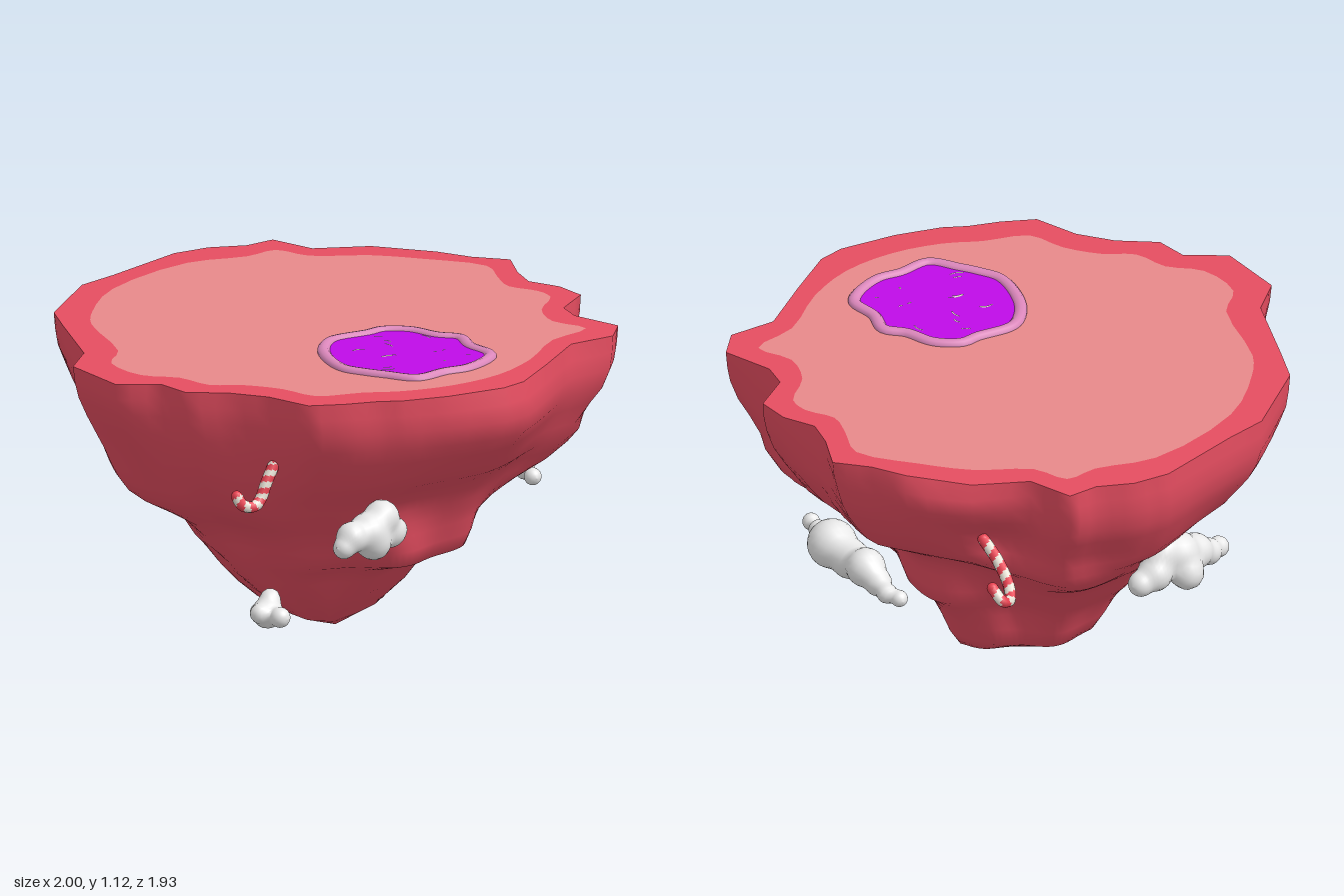
import * as THREE from 'three';

const mat = (name, color, side = THREE.FrontSide) => {
  const m = new THREE.MeshStandardMaterial({ color, side });
  m.name = name;
  return m;
};

// Plan outlines as x, z pairs, running from +x towards +z
const RIM = [1, -.06, .91, .06, .86, .16, .89, .28, .87, .4, .72, .46, .68, .55, .7, .74, .6, .81, .43, .77,
  .2, .87, 0, .95, -.1, .95, -.3, .88, -.45, .8, -.52, .74, -.62, .68, -.72, .6, -.74, .43, -.8, .3,
  -.9, .18, -.89, .06, -1, -.06, -.95, -.31, -.81, -.39, -.63, -.66, -.54, -.79, -.24, -.94, -.08, -.94, .25, -.96,
  .38, -.92, .49, -.84, .6, -.82, .62, -.65, .78, -.52, .89, -.31, .93, -.18];
const GROUND = [.89, -.07, .82, .05, .77, .15, .8, .26, .78, .34, .65, .42, .58, .54, .6, .68, .42, .69, .2, .79,
  0, .83, -.2, .8, -.37, .72, -.48, .63, -.62, .54, -.64, .4, -.7, .27, -.78, .18, -.79, .05, -.86, -.07,
  -.83, -.24, -.71, -.32, -.55, -.6, -.44, -.7, -.2, -.83, .2, -.85, .4, -.75, .52, -.73, .55, -.6, .7, -.45, .8, -.28];
const POOL = [.23, .45, .18, .55, .16, .67, .1, .71, -.03, .73, -.12, .7, -.25, .68, -.3, .57, -.33, .49, -.35, .4,
  -.3, .27, -.22, .17, -.12, .12, .03, .16, .1, .17, .17, .25, .19, .37];

const pairs = (a) => Array.from({ length: a.length / 2 }, (_, i) => [a[2 * i], a[2 * i + 1]]);
const toShape = (pts) => new THREE.Shape(pts.map(([x, z]) => new THREE.Vector2(x, -z)));
const flat = (shape, y) => new THREE.ShapeGeometry(shape).rotateX(-Math.PI / 2).translate(0, y, 0);
const loop = (pts) => new THREE.CatmullRomCurve3(pts.map(([x, z]) => new THREE.Vector3(x, 0, z)), true);
const soften = (pts) => loop(pts).getPoints(pts.length * 3).slice(0, -1).map((p) => [p.x, p.z]);

function indexedGeometry(pos, idx) {
  const g = new THREE.BufferGeometry();
  g.setAttribute('position', new THREE.Float32BufferAttribute(pos, 3));
  g.setIndex(idx);
  g.computeVertexNormals();
  return g;
}

// Rock sides: height, scale to -x, +x, +z, -z, and how far the outline is smoothed
const LEVELS = [
  [1.1, 1, 1, 1, 1, 0], [1.04, .995, .995, 1, 1, .05], [.98, .98, .98, 1, 1, .12], [.91, .95, .96, .97, .98, .22],
  [.85, .92, .93, .92, .95, .32], [.78, .88, .88, .86, .9, .42], [.72, .84, .83, .8, .86, .52],
  [.67, .8, .77, .72, .81, .62], [.62, .76, .68, .67, .74, .7], [.57, .7, .59, .63, .69, .78],
  [.52, .62, .55, .6, .65, .85], [.47, .55, .53, .57, .6, .9], [.41, .5, .52, .55, .56, 1],
  [.35, .46, .5, .52, .51, 1], [.31, .42, .45, .38, .47, 1], [.25, .37, .4, .3, .42, 1],
  [.18, .29, .36, .24, .38, 1], [.11, .19, .33, .15, .34, 1], [.05, .1, .29, .07, .18, 1]];

// Bulges and gullies: angle from +x towards +z, height, angular spread, height spread, amount
const BUMPS = [
  [.78, .62, .3, .12, .17], [-.95, .58, .3, .1, .17], [-.45, 1, .18, .06, .05], [-.66, .78, .14, .12, -.13],
  [.5, .28, .25, .16, -.16], [-.75, .32, .3, .15, -.14], [-.1, .3, .25, .2, .05], [1.85, .6, .3, .13, -.08],
  [2.2, .32, .25, .12, -.08], [1.57, .95, .3, .12, .02], [-2.8, .6, .3, .12, .06], [-1.9, .45, .25, .15, -.07]];

function rockGeometry() {
  const rim = pairs(RIM), SUB = 3, cols = [];
  rim.forEach(([x, z], i) => {
    const [nx, nz] = rim[(i + 1) % rim.length];
    for (let k = 0; k < SUB; k++) cols.push([x + (nx - x) * k / SUB, z + (nz - z) * k / SUB]);
  });
  const n = cols.length, W = 7;
  const soft = cols.map((_, i) => {
    let x = 0, z = 0;
    for (let k = -W; k <= W; k++) { x += cols[(i + k + n) % n][0]; z += cols[(i + k + n) % n][1]; }
    return [x / (2 * W + 1) * 1.06, z / (2 * W + 1) * 1.06];
  });
  const pos = [], idx = [];
  LEVELS.forEach(([y, l, r, f, b, t]) => cols.forEach((c, j) => {
    const x = c[0] + (soft[j][0] - c[0]) * t, z = c[1] + (soft[j][1] - c[1]) * t;
    const a = Math.atan2(z, x);
    let w = 1 + t * .02 * Math.sin(9 * a - y * 7);
    for (const [ba, by, sa, sy, amount] of BUMPS) {
      const da = Math.atan2(Math.sin(a - ba), Math.cos(a - ba)) / sa, dy = (y - by) / sy;
      w += amount * Math.exp(-da * da - dy * dy);
    }
    if (y === 1.1) w = 1;
    pos.push(x * (x > 0 ? r : l) * w, y, z * (z > 0 ? f : b) * w);
  }));
  pos.push(.05, 0, 0);
  const last = LEVELS.length - 1;
  for (let i = 0; i <= last; i++) for (let j = 0; j < n; j++) {
    const a = i * n + j, b = i * n + (j + 1) % n;
    if (i === last) idx.push(a, b, pos.length / 3 - 1);
    else idx.push(a, b, a + n, b, b + n, a + n);
  }
  return indexedGeometry(pos, idx);
}

// One smooth skin around puffs (x, y, z, radius), ringed along the line from -dir to +dir
function cloudGeometry(puffs, dir) {
  const axis = new THREE.Vector3(...dir).normalize(), up = new THREE.Vector3(0, 1, 0);
  const side = new THREE.Vector3().crossVectors(axis, up);
  const balls = puffs.map(([x, y, z, r]) => {
    const c = new THREE.Vector3(x, y, z);
    return { c, r, s: c.dot(axis) };
  });
  const field = (p) => balls.reduce((sum, b) => sum + Math.exp(3.5 * (1 - p.distanceToSquared(b.c) / (b.r * b.r))), 0);
  const lo = Math.min(...balls.map((b) => b.s - b.r * 1.05)), hi = Math.max(...balls.map((b) => b.s + b.r * 1.05));
  const RINGS = 48, N = 24, pos = [], idx = [];
  for (let i = 0; i <= RINGS; i++) {
    const s = (lo + hi) / 2 - Math.cos(Math.PI * i / RINGS) * (hi - lo) / 2;
    const mid = new THREE.Vector3();
    let total = 0;
    for (const b of balls) {
      const w = Math.exp(-(((s - b.s) / b.r) ** 2)) * b.r + 1e-9;
      mid.addScaledVector(b.c, w);
      total += w;
    }
    mid.divideScalar(total);
    mid.addScaledVector(axis, s - mid.dot(axis));
    for (let j = 0; j < N; j++) {
      const a = j / N * Math.PI * 2;
      const ray = up.clone().multiplyScalar(Math.cos(a)).addScaledVector(side, Math.sin(a));
      let near = 0, far = .25;
      for (let k = 0; k < 14; k++) {
        const d = (near + far) / 2;
        if (field(mid.clone().addScaledVector(ray, d)) > 1) near = d; else far = d;
      }
      pos.push(...mid.clone().addScaledVector(ray, near).toArray());
      const p = i * N + j, q = i * N + (j + 1) % N;
      if (i < RINGS) idx.push(p, p + N, q, q, p + N, q + N);
    }
  }
  return indexedGeometry(pos, idx);
}

export function createModel() {
  const root = new THREE.Group();
  root.name = 'floatingIsland';
  const rock = mat('rock red', 0xe54d60), ground = mat('ground pink', 0xea8b8c);
  const purple = mat('pool purple', 0xc00be8), mauve = mat('pool edge mauve', 0xdc88bc);
  const cloud = mat('cloud white', 0xf0f0f0, THREE.DoubleSide), red = mat('candy red', 0xe84050);
  const cream = mat('candy white', 0xf2ede0, THREE.DoubleSide);
  const add = (name, geo, m, parent = root) => {
    const mesh = new THREE.Mesh(geo, m);
    mesh.name = name;
    parent.add(mesh);
  };

  // Island body and top
  const lawn = soften(pairs(GROUND));
  add('rockBody', rockGeometry(), rock);
  const rimShape = toShape(pairs(RIM));
  rimShape.holes.push(toShape(lawn));
  add('rim', flat(rimShape, 1.1), rock);
  add('ground', flat(toShape(lawn), 1.1), ground);

  // Pool with its raised edge
  const inset = pairs(POOL).map(([x, z]) => [-.06 + (x + .06) * .925, .425 + (z - .425) * .925]);
  add('pool', flat(toShape(soften(inset)), 1.106), purple);
  add('poolEdge', new THREE.TubeGeometry(loop(inset), 100, .023, 10, true).scale(1, .8, 1).translate(0, 1.1, 0), mauve);

  // Thin curved glints on the pool: x, z, radius, start angle, sweep
  [[-.17, .34, .05, .6, 1], [-.16, .33, .04, .7, .8], [-.08, .33, .05, -.6, .9], [-.03, .3, .03, -.5, 1],
    [-.15, .47, .06, .6, 1], [-.15, .46, .045, .7, .9], [-.22, .49, .05, 3.7, 1], [-.21, .48, .035, 3.8, .9],
    [.08, .36, .05, -.5, .9], [-.01, .27, .04, .5, .8], [.02, .52, .015, 1, 1], [.06, .5, .015, 4, 1],
    [-.02, .61, .015, 2, 1], [.06, .62, .015, 0, 1]].forEach(([x, z, r, s, w]) =>
    add('poolGlint', new THREE.RingGeometry(r - .003, r + .003, 8, 1, s, w).rotateX(-Math.PI / 2).translate(x, 1.109, z), cream));

  // Clouds
  add('leftCloud', cloudGeometry([[.73, .56, .2, .088], [.77, .56, 0, .07], [.74, .54, .1, .07], [.68, .53, .29, .05],
    [.63, .51, .36, .036], [.6, .505, .425, .031], [.78, .53, -.07, .048], [.8, .52, -.13, .036], [.79, .515, -.18, .03]],
  [.2, 0, -.6]), cloud);
  add('frontCloud', cloudGeometry([[-.42, .57, .6, .07], [-.35, .61, .6, .062], [-.5, .57, .6, .055], [-.31, .55, .6, .058],
    [-.4, .53, .61, .06], [-.54, .54, .6, .038], [-.275, .55, .6, .036]], [1, 0, 0]), cloud);
  add('backCloud', cloudGeometry([[0, .6, -.76, .08], [.07, .63, -.75, .07], [-.09, .57, -.76, .065], [.12, .57, -.77, .062],
    [-.16, .54, -.76, .048], [-.22, .53, -.75, .038], [.18, .55, -.76, .045], [0, .54, -.81, .06]], [1, 0, 0]), cloud);
  add('smallCloud', cloudGeometry([[-.41, .17, .11, .055], [-.385, .215, .1, .035], [-.46, .18, .12, .034],
    [-.38, .15, .05, .038], [-.42, .17, .18, .036]], [0, 0, 1]), cloud);

  // Hooked candy canes with spiral stripes
  const cane = (name, pts) => {
    const N = 48, S = 8, g = new THREE.Group();
    g.name = name;
    root.add(g);
    const curve = new THREE.CatmullRomCurve3(pts.map((p) => new THREE.Vector3(...p)));
    const tube = new THREE.TubeGeometry(curve, N, .021, S);
    const all = Array.from(tube.index.array), sets = [[], []];
    for (let q = 0; q < N * S; q++) {
      const stripe = (Math.floor(q / S) + q % S) % 8 < 4 ? 0 : 1;
      sets[stripe].push(...all.slice(q * 6, q * 6 + 6));
    }
    sets.forEach((s, k) => {
      const part = tube.clone();
      part.setIndex(s);
      add(k ? 'whiteStripe' : 'redStripe', part, k ? cream : red, g);
    });
    for (const p of [pts[0], pts[pts.length - 1]]) add('caneEnd', new THREE.SphereGeometry(.0208, 10, 8).translate(...p), red, g);
  };
  cane('rightCane', [[-.68, .84, .4], [-.72, .78, .4], [-.755, .72, .4], [-.79, .705, .4], [-.825, .715, .385], [-.835, .745, .365]]);
  cane('leftCane', [[.66, .81, -.46], [.66, .75, -.53], [.68, .69, -.6], [.715, .66, -.64], [.75, .67, -.64], [.76, .71, -.6]]);

  return root;
}
